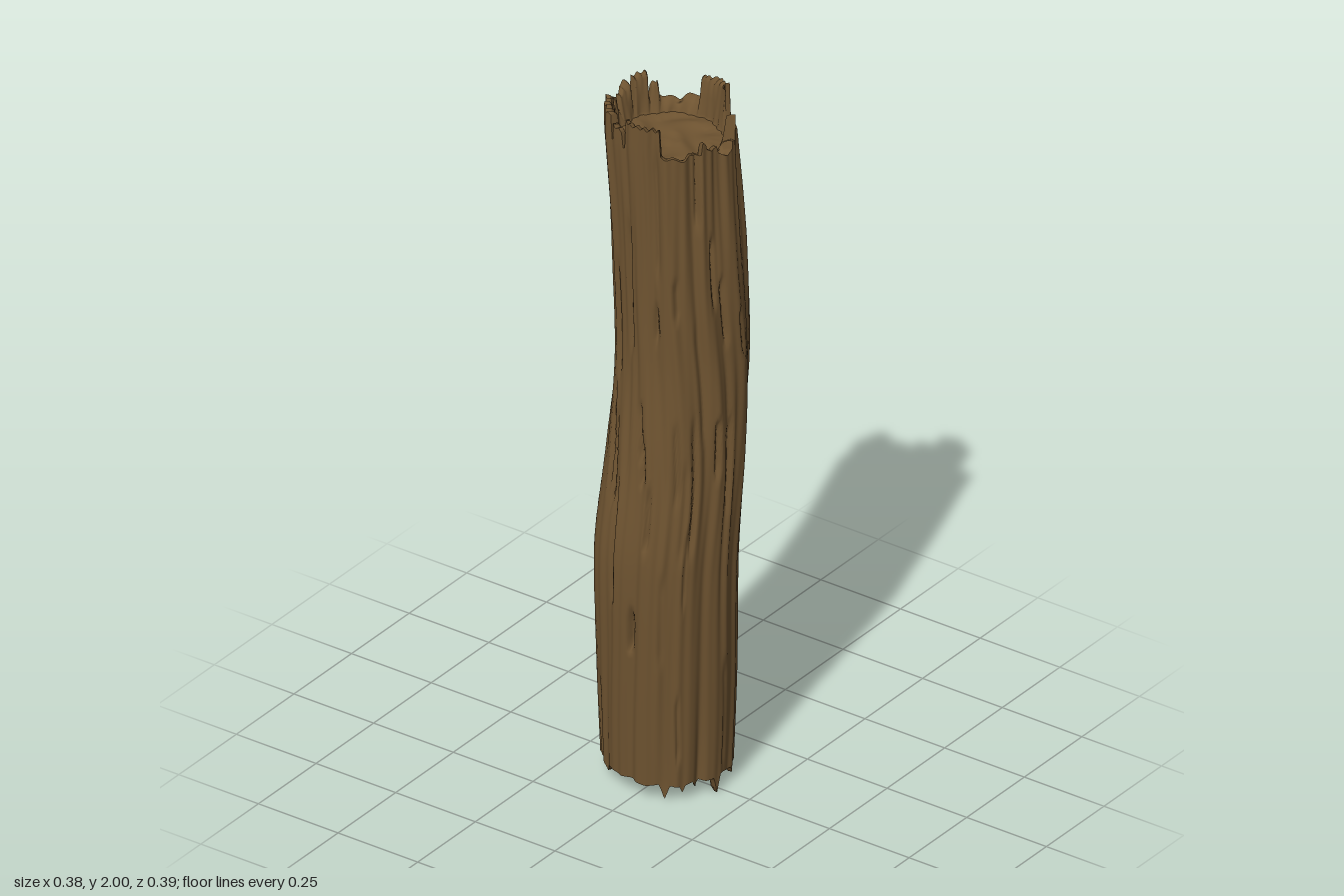
import * as THREE from 'three';

const SEG = 256, DEG = Math.PI / 180;
const wood = new THREE.MeshStandardMaterial({ color: 0x6f5431, side: THREE.DoubleSide });

let seed = 11;
const rnd = () => (seed = (seed * 16807) % 2147483647) / 2147483647;

// Gently bent centre line and girth at even heights from 0.05 to 1.9
const V = (x, y, z) => new THREE.Vector3(x, y, z);
const spine = new THREE.CatmullRomCurve3([
  V(0, .165, -.007), V(-.007, .175, -.003), V(-.014, .182, -.002), V(.003, .174, .016),
  V(.02, .168, .025), V(.017, .168, .015), V(.007, .166, -.005)]);
const at = y => spine.getPoint(THREE.MathUtils.clamp((y - .05) / 1.85, 0, 1));

// Narrow cracks running along the bark
const cracks = Array.from({ length: 75 }, () => ({
  a: rnd() * 360, y: .1 + rnd() * 1.75, half: .05 + rnd() * .16, depth: .006 + rnd() * .01, w: 1.2 + rnd() * 1.4,
}));
// Long deep furrows: angle, depth, width in degrees
const furrows = [[-8, .016, 5], [38, .01, 4], [62, .012, 3.5], [98, .009, 3], [122, .011, 4], [160, .008, 4],
  [205, .01, 4], [236, .013, 5], [262, .008, 3], [300, .011, 4], [328, .009, 4]];

const wrap = d => ((d % 360) + 540) % 360 - 180;

function barkRadius(a, y) {
  const drift = 7 * Math.sin(y * 2.6 + .5) + 3 * Math.sin(y * 6 + a * DEG);
  const t = (a + drift) * DEG;
  let r = at(y).y - .002 + .004 * Math.sin(5 * t + y) + .0035 * Math.sin(11 * t + 1.3 * Math.sin(y * 3))
    + .002 * Math.sin(23 * t + 2 * Math.sin(y * 2)) + .001 * Math.sin(41 * t + y * 5);
  for (const [fa, depth, w] of furrows) {
    const d = wrap(a + drift - fa) / w;
    r -= depth * Math.exp(-d * d) * (.6 + .4 * Math.sin(y * 3.5 + fa));
  }
  for (const c of cracks) {
    const k = 1 - Math.abs(y - c.y) / c.half;
    if (k <= 0) continue;
    const d = wrap(a + drift - c.a) / c.w;
    r -= c.depth * Math.exp(-d * d) * Math.min(1, k * 3);
  }
  return r;
}

// Splintered top edge: from angle, to angle, height at each end
const teeth = [[-4, 37, 1.965, 1.985], [33, 38, 1.98, 2], [66, 73, 1.93, 1.965], [110, 116, 1.92, 1.93],
  [154, 190, 1.97, 1.975], [193, 204, 1.94, 1.95], [207, 250, 1.975, 1.965], [254, 259, 1.91, 1.945],
  [267, 284, 1.935, 1.96], [287, 303, 1.965, 1.97], [306, 314, 1.93, 1.94]];
function topEdge(a) {
  let h = 1.897 + .006 * Math.sin(a * .13) + .004 * Math.sin(a * .41);
  if (a > 80 && a < 96) h -= .02;
  for (const [a0, a1, h0, h1] of teeth) {
    const t = ((a - a0 + 360) % 360) / (a1 - a0);
    if (t <= 1) h = Math.max(h, h0 + (h1 - h0) * t + .004 * Math.sin(a * .9));
  }
  return h;
}

// Hanging splinters of the bottom edge: angle, drop, width
const splinters = [[148, .044, 5], [97, .05, 4], [72, .025, 4], [118, .02, 4], [268, .03, 4], [215, .02, 5], [30, .012, 5], [132, .02, 3]];
function bottomEdge(a) {
  let y = .05 + .003 * Math.sin(a * .22);
  for (const [sa, drop, w] of splinters) y -= drop * Math.max(0, 1 - Math.abs(wrap(a - sa)) / w);
  return Math.max(0, y);
}

// Closed rings of vertices; point(angle, row) gives [radius, y, level of the spine]
function rings(name, rows, point) {
  const pos = [], idx = [];
  for (let j = 0; j < rows; j++) {
    for (let i = 0; i < SEG; i++) {
      const a = i * 360 / SEG, [r, y, level = y] = point(a, j), c = at(level);
      pos.push(c.x + r * Math.cos(a * DEG), y, c.z + r * 1.03 * Math.sin(a * DEG));
      if (j === rows - 1) continue;
      const p = j * SEG + i, q = j * SEG + (i + 1) % SEG;
      idx.push(p, p + SEG, q, q, p + SEG, q + SEG);
    }
  }
  const g = new THREE.BufferGeometry();
  g.setAttribute('position', new THREE.Float32BufferAttribute(pos, 3));
  g.setIndex(idx);
  g.computeVertexNormals();
  const mesh = new THREE.Mesh(g, wood);
  mesh.name = name;
  return mesh;
}

export function createModel() {
  const group = new THREE.Group();
  group.name = 'log';

  // Bark from the splintered bottom edge to the splintered top edge
  const N = 90;
  group.add(rings('bark', N + 1, (a, j) => {
    const lo = bottomEdge(a), y = lo + (topEdge(a) - lo) * j / N;
    return [barkRadius(a, y), y];
  }));

  // Broken rim and its inner wall, down to the sunken core
  const inner = a => .132 + .003 * Math.sin(a * DEG * 9) + .002 * Math.sin(a * DEG * 31);
  group.add(rings('topRim', 6, (a, j) => {
    const h = topEdge(a), r = barkRadius(a, h), n = inner(a);
    return [[r, h], [r - .012, h - .001, h], [.146, h - .008, h], [.141, (h + 1.87) / 2, 1.9],
      [n + .003, 1.868, 1.9], [n, 1.86, 1.9]][j];
  }));

  // Sunken core with a shallow winding grain
  const K = 24;
  group.add(rings('topCore', K + 1, (a, j) => {
    const f = 1 - j / K, r = inner(a) * f, x = r * Math.cos(a * DEG), z = r * Math.sin(a * DEG);
    const grain = Math.sin(55 * z + 2 * Math.sin(30 * x) + 12 * x);
    return [r, 1.86 + .005 * grain * Math.min(1, 4 * (1 - f)) * Math.min(1, 4 * f), 1.9];
  }));

  // Hollow underside: core, inner wall and rim
  group.add(rings('bottomCore', K + 1, (a, j) => {
    const f = j / K, r = inner(a) * f;
    return [r, .095 + .004 * Math.sin(70 * r + 2 * Math.sin(a * DEG)) * (1 - f) * Math.min(1, 4 * f), .05];
  }));
  group.add(rings('bottomRim', 5, (a, j) => {
    const h = bottomEdge(a), r = barkRadius(a, h);
    return [[inner(a), .095, .05], [.138, .08, .05], [.144, h + .012, .05], [r - .01, h + .001, .05], [r, h]][j];
  }));
  return group;
}
